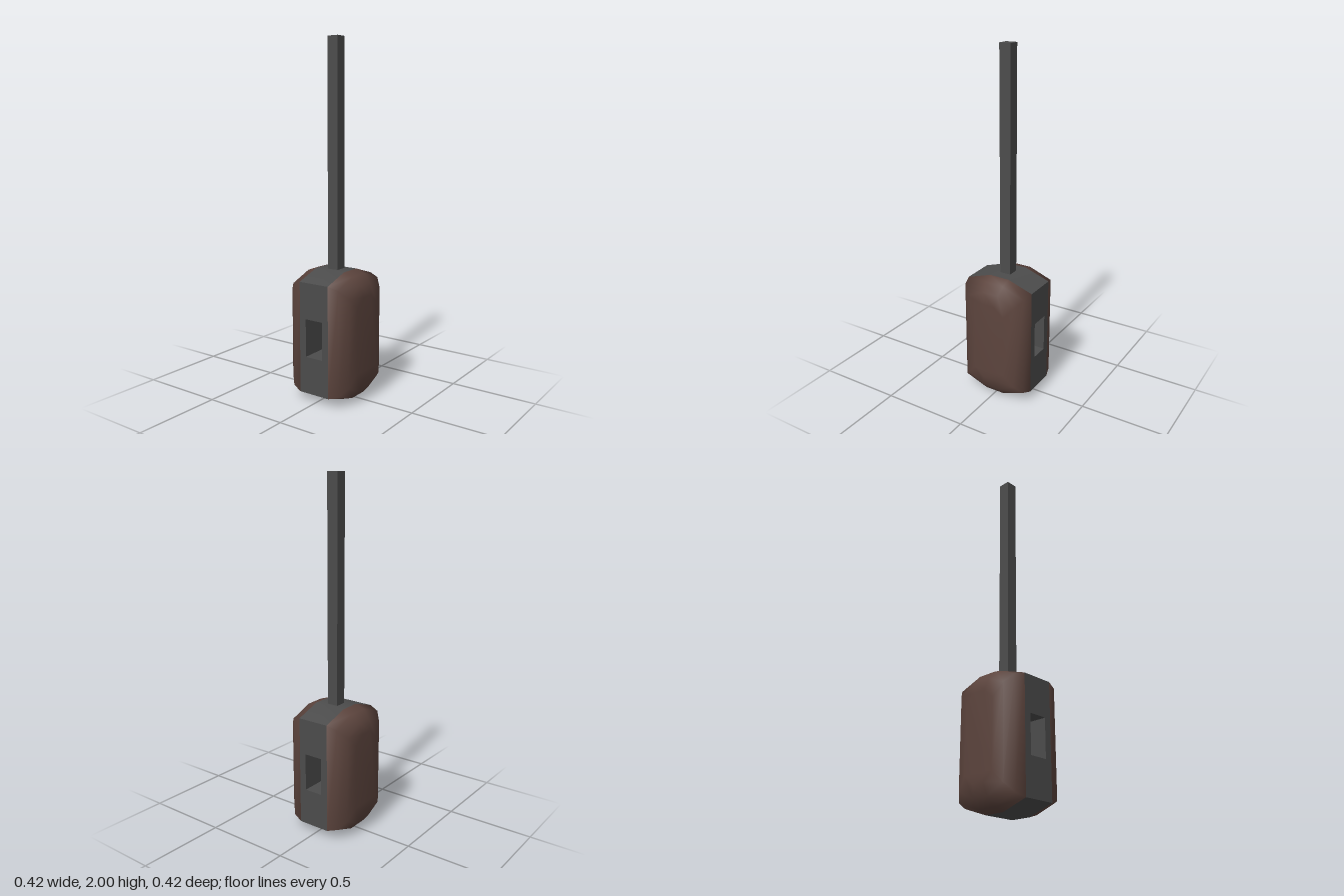
import * as THREE from 'three';
import { toCreasedNormals } from 'three/addons/utils/BufferGeometryUtils.js';

const metal = new THREE.MeshStandardMaterial({ color: 0x4c4c4c });
const grip = new THREE.MeshStandardMaterial({ color: 0x5c443d });

function add(group, name, geometry, material) {
  const mesh = new THREE.Mesh(geometry, material);
  mesh.name = name;
  group.add(mesh);
  return mesh;
}

function rect(Type, x, y0, y1) {
  const path = new Type();
  path.moveTo(-x, y0).lineTo(x, y0).lineTo(x, y1).lineTo(-x, y1).closePath();
  return path;
}

// Metal block with a through slot; its ends are lowered to make the sloped top and bottom
function coreGeometry() {
  const shape = rect(THREE.Shape, 0.095, 0, 0.73);
  shape.holes.push(rect(THREE.Path, 0.055, 0.26, 0.475));
  const geo = new THREE.ExtrudeGeometry(shape, { depth: 0.42, steps: 3, bevelEnabled: false });
  geo.translate(0, 0, -0.21);
  const p = geo.attributes.position;
  for (let i = 0; i < p.count; i++) {
    const z = p.getZ(i), y = p.getY(i);
    if (Math.abs(z) < 0.2) p.setZ(i, Math.sign(z) * 0.06);
    else if (y > 0.7) p.setY(i, 0.68);
    else if (y < 0.03) p.setY(i, 0.05);
  }
  return toCreasedNormals(geo, Math.PI / 6);
}

// Rounded cheek: the block's side outline shrinking in rings towards +x
function cheekGeometry() {
  const rings = [[0.095, 0], [0.152, 0.016], [0.193, 0.057], [0.21, 0.115]]; // x, inset
  const n = 8, pos = [], index = [];
  for (const [x, d] of rings) {
    const w = 0.21 - d, c = 0.06 - d * 0.2, e = d * 1.13;
    for (const [z, y] of [
      [-w, 0.05 + e], [-w, 0.68 - e], [-c, 0.73 - e], [c, 0.73 - e],
      [w, 0.68 - e], [w, 0.05 + e], [c, e], [-c, e],
    ]) pos.push(x, y, z);
  }
  for (let k = 0; k < rings.length - 1; k++) {
    for (let i = 0; i < n; i++) {
      const a = k * n + i, b = k * n + (i + 1) % n;
      index.push(a, b, a + n, b, b + n, a + n);
    }
  }
  const end = (rings.length - 1) * n;
  for (let i = 1; i < n - 1; i++) index.push(end, end + i, end + i + 1);
  const geo = new THREE.BufferGeometry();
  geo.setAttribute('position', new THREE.Float32BufferAttribute(pos, 3));
  geo.setIndex(index);
  geo.computeVertexNormals();
  return geo;
}

export function createModel() {
  const model = new THREE.Group();
  model.name = 'slottedHandle';

  add(model, 'core', coreGeometry(), metal);

  // Cheeks on both sides
  const cheek = cheekGeometry();
  add(model, 'leftCheek', cheek, grip);
  add(model, 'rightCheek', cheek, grip).rotation.y = Math.PI;

  // Square rod rising from the block
  const rod = new THREE.BoxGeometry(0.066, 1.28, 0.066);
  add(model, 'rod', rod, metal).position.y = 1.36;

  return model;
}
